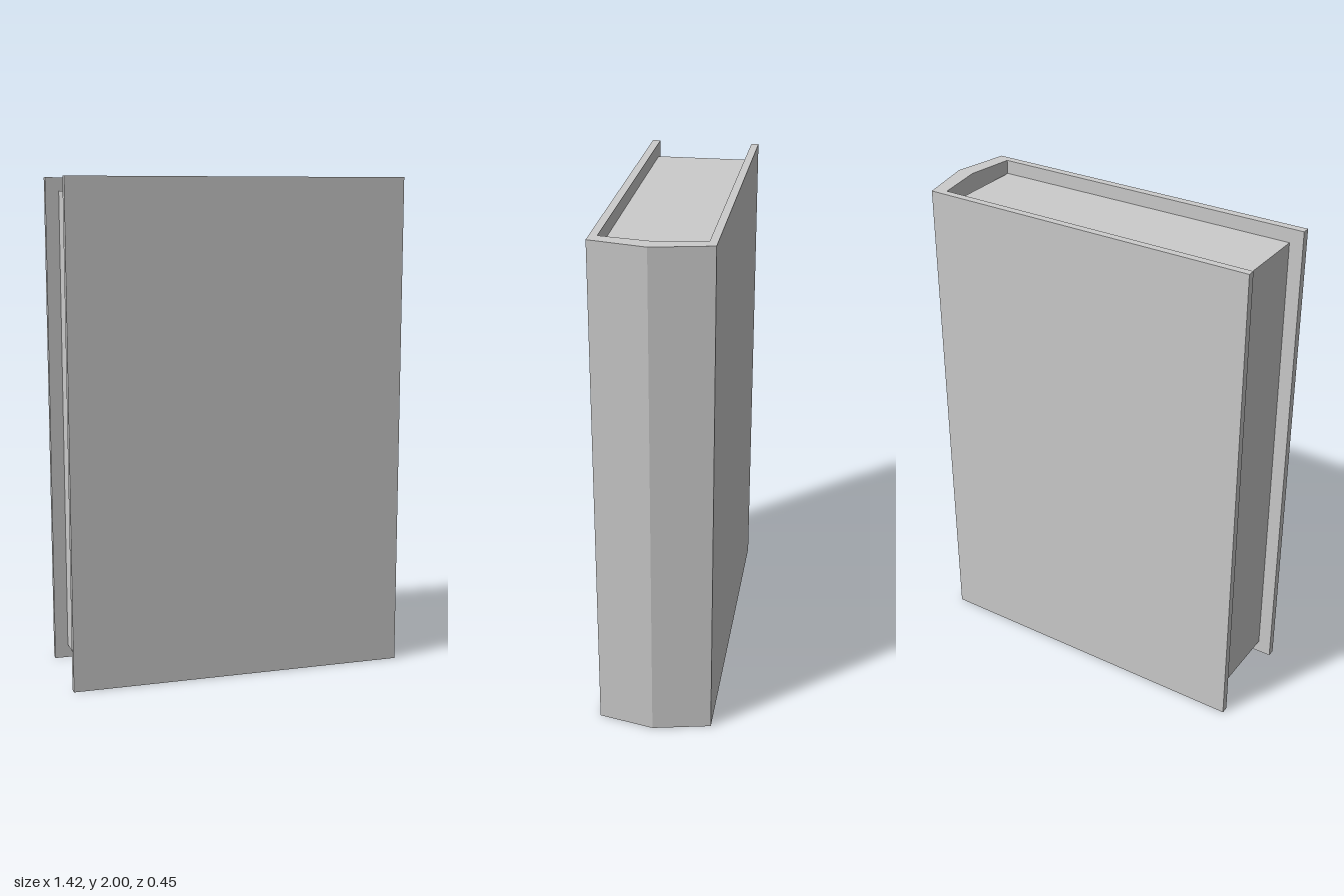
import * as THREE from 'three';

export function createModel() {
  const book = new THREE.Group();
  book.name = 'book';
  const material = new THREE.MeshStandardMaterial({ color: 0xcccccc, flatShading: true });

  const addPart = (name, geometry) => {
    const mesh = new THREE.Mesh(geometry, material);
    mesh.name = name;
    book.add(mesh);
    return mesh;
  };

  // Wrap-around cover: boards and pointed spine, outlined as [x, z] and raised along y
  const outline = [
    [-0.71, 0.225], [0.66, 0.22], [0.707, 0], [0.66, -0.228], [-0.71, -0.228],
    [-0.71, -0.198], [0.61, -0.198], [0.64, 0], [0.61, 0.19], [-0.71, 0.193],
  ];
  const shape = new THREE.Shape(outline.map(([x, z]) => new THREE.Vector2(x, -z)));
  const cover = new THREE.ExtrudeGeometry(shape, { depth: 2, bevelEnabled: false });
  cover.rotateX(-Math.PI / 2);
  addPart('cover', cover);

  // Page block, set in from the head, tail and fore edge
  const pages = addPart('pages', new THREE.BoxGeometry(1.265, 1.89, 0.39));
  pages.position.set(-0.0235, 1, -0.003);

  return book;
}
